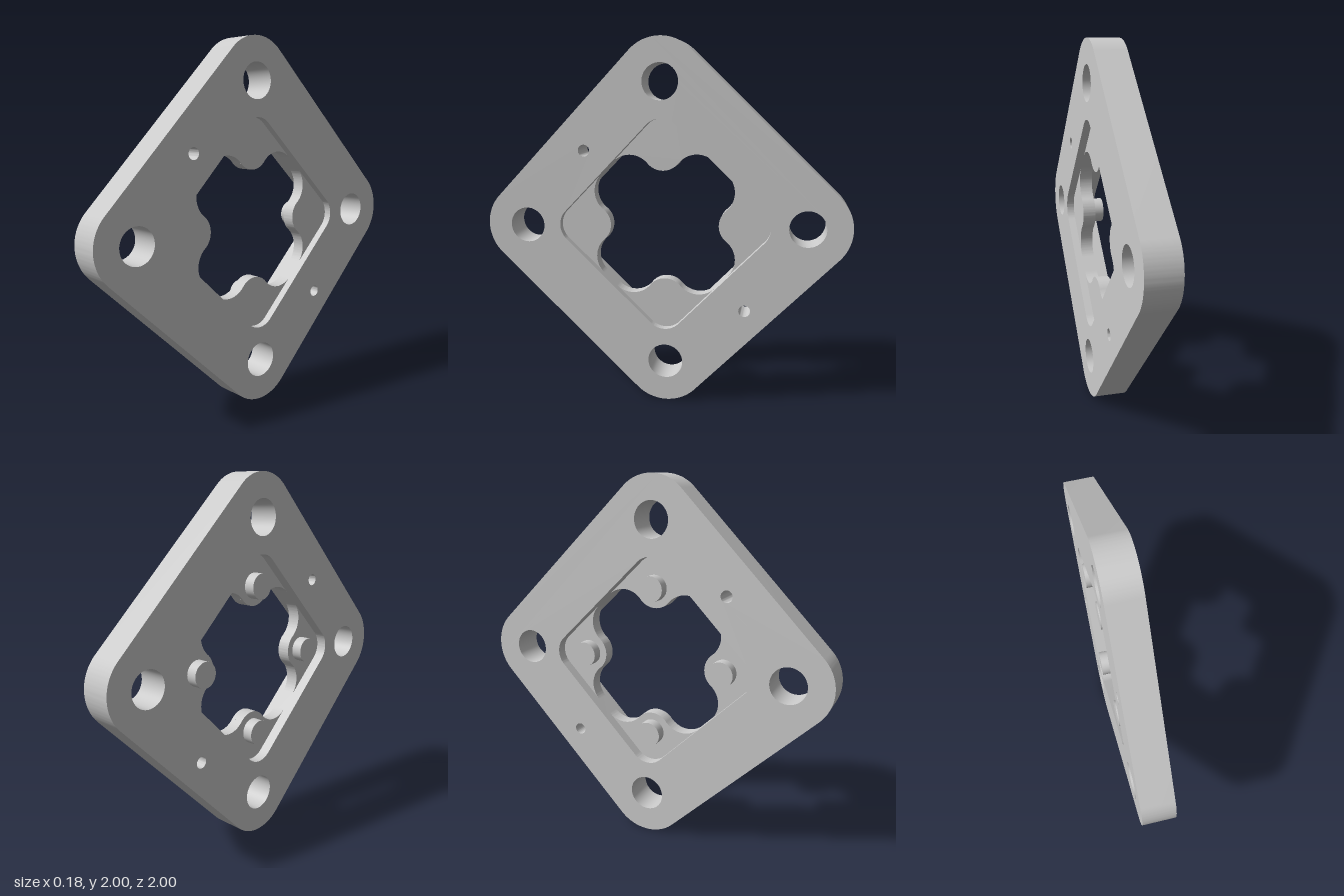
import * as THREE from 'three';
import { toCreasedNormals } from 'three/addons/utils/BufferGeometryUtils.js';

const DEG = Math.PI / 180;
const THICK = 0.176;
const SPIN = 1.1 * DEG; // slight turn of the diamond about its axis
const material = new THREE.MeshStandardMaterial({ color: 0xcccccc });

// Diamond with rounded corners: corner arcs of radius r centred at distance d
function diamond(path, d, r) {
  for (let i = 0; i < 4; i++) {
    const a = i * 90 * DEG;
    path.absarc(d * Math.cos(a), d * Math.sin(a), r, a - 45 * DEG, a + 45 * DEG, false);
  }
  path.closePath();
  return path;
}

function circle(x, y, r) {
  return new THREE.Path().absarc(x, y, r, 0, Math.PI * 2, false);
}

// Solid between two depths along the plate's axis
function slab(name, shape, from, to) {
  const geo = new THREE.ExtrudeGeometry(shape, { depth: to - from, bevelEnabled: false, curveSegments: 24 });
  geo.translate(0, 0, from);
  const mesh = new THREE.Mesh(toCreasedNormals(geo, 30 * DEG), material);
  mesh.name = name;
  return mesh;
}

export function createModel() {
  const model = new THREE.Group();
  model.name = 'mountingPlate';

  const plate = new THREE.Group();
  plate.name = 'plate';
  plate.rotation.set(0, Math.PI / 2, SPIN);
  plate.position.y = 1;
  model.add(plate);

  // Outer frame with window, bolt holes and two pin holes
  const frame = diamond(new THREE.Shape(), 0.77, 0.23);
  frame.holes.push(diamond(new THREE.Path(), 0.47, 0.11));
  for (let i = 0; i < 4; i++) {
    const a = i * 90 * DEG;
    frame.holes.push(circle(0.77 * Math.cos(a), 0.77 * Math.sin(a), 0.097));
  }
  for (const [x, y] of [[-0.435, 0.405], [0.45, -0.45]]) {
    const p = new THREE.Vector2(x, y).rotateAround(new THREE.Vector2(), -SPIN);
    frame.holes.push(circle(p.x, p.y, 0.032));
  }
  plate.add(slab('frame', frame, -THICK / 2, THICK / 2));

  // Recessed corner tab: window corner, two fillets and a round tip
  const pegY = 0.41, tipR = 0.11, filletR = 0.13, fx = 0.1844, fy = 0.2566;
  const meet = Math.atan2(pegY - fy, fx);
  const tab = new THREE.Shape();
  tab.absarc(0, 0.47, 0.11, 45 * DEG, 135 * DEG, false);
  tab.absarc(-fx, fy, filletR, 135 * DEG, meet, true);
  tab.absarc(0, pegY, tipR, Math.PI + meet, 2 * Math.PI - meet, false);
  tab.absarc(fx, fy, filletR, Math.PI - meet, 45 * DEG, true);
  tab.closePath();

  // One tab with its peg in each corner
  for (let i = 0; i < 4; i++) {
    const corner = new THREE.Group();
    corner.name = 'cornerTab' + (i + 1);
    corner.rotation.z = i * 90 * DEG;
    corner.add(slab('tab', tab, -0.028, 0.045));

    const peg = new THREE.Mesh(new THREE.CylinderGeometry(0.07, 0.07, 0.06, 40), material);
    peg.name = 'peg';
    peg.rotation.x = Math.PI / 2;
    peg.position.set(0, pegY, -0.058);
    corner.add(peg);
    plate.add(corner);
  }
  return model;
}
